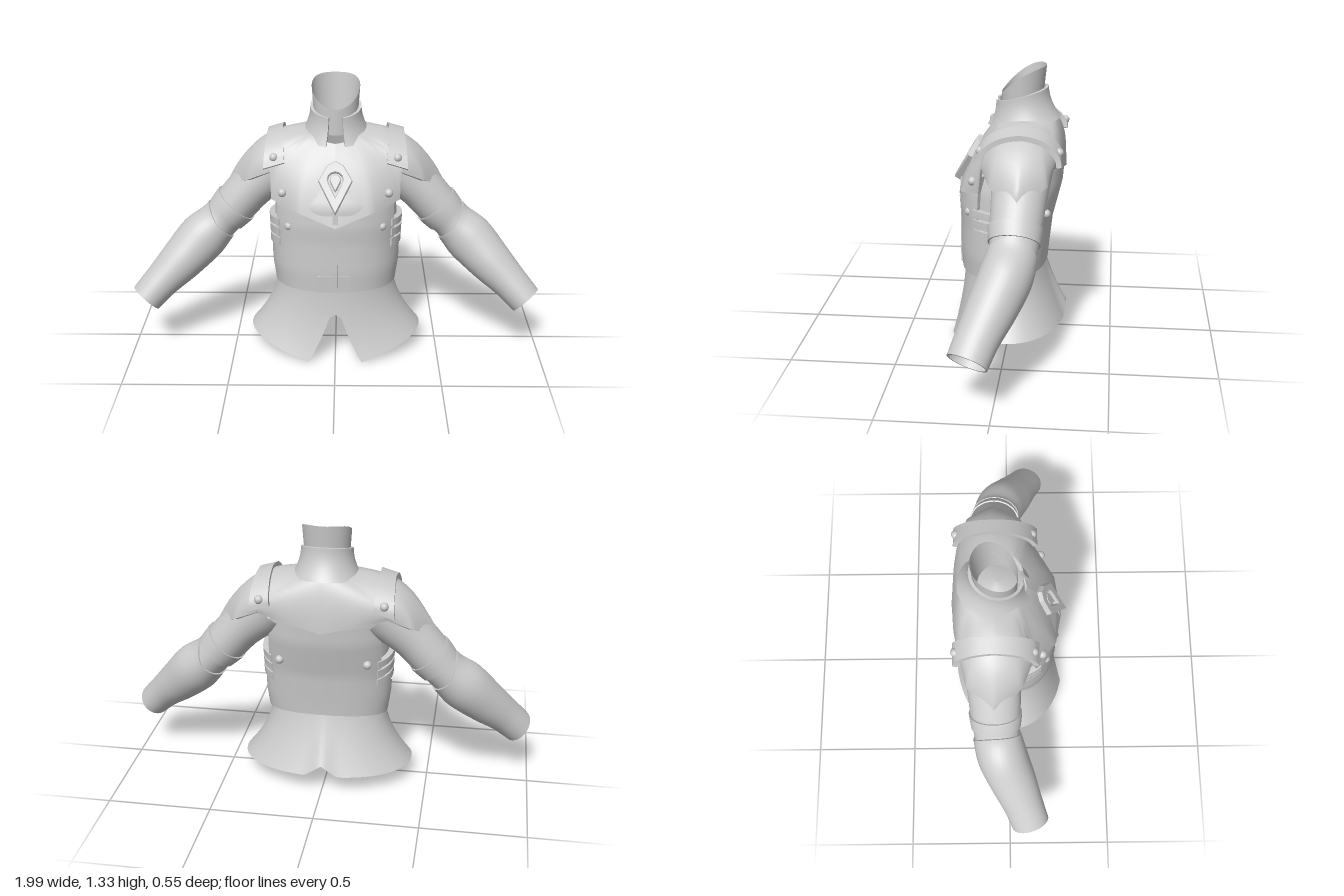
import * as THREE from 'three';
import { toCreasedNormals } from 'three/addons/utils/BufferGeometryUtils.js';

const mat = new THREE.MeshStandardMaterial({ color: 0xcccccc, side: THREE.DoubleSide });
const { lerp, clamp, smoothstep } = THREE.MathUtils;
const V = (a) => new THREE.Vector3(...a);

// Surface over a grid of f(u, v, offset); a thickness folds the border back to offset 0.
function surface(name, f, nu, nv, thick = 0) {
  const pos = [], index = [], e = thick ? 1 : 0, cols = nu + 1 + 2 * e;
  for (let j = -e; j <= nv + e; j++)
    for (let i = -e; i <= nu + e; i++) {
      const edge = i < 0 || j < 0 || i > nu || j > nv;
      pos.push(...f(clamp(i / nu, 0, 1), clamp(j / nv, 0, 1), edge ? 0 : thick));
    }
  for (let j = 0; j < nv + 2 * e; j++)
    for (let i = 0; i < nu + 2 * e; i++) {
      const a = j * cols + i, b = a + cols;
      index.push(a, b, a + 1, b, b + 1, a + 1);
    }
  const g = new THREE.BufferGeometry();
  g.setAttribute('position', new THREE.Float32BufferAttribute(pos, 3));
  g.setIndex(index);
  const mesh = new THREE.Mesh(toCreasedNormals(g, 0.7), mat);
  mesh.name = name;
  return mesh;
}

// Linear lookup in rows whose first entry is the key
function lookup(rows, k) {
  let i = 0;
  while (i < rows.length - 2 && k > rows[i + 1][0]) i++;
  const t = clamp((k - rows[i][0]) / (rows[i + 1][0] - rows[i][0]), 0, 1);
  return rows[i].map((a, n) => lerp(a, rows[i + 1][n], t));
}

// Point on a squarish oval; angle 0 is the front, rising toward +x
function oval(th, y, rx, front, back, p = 0.85) {
  const s = Math.sin(th), c = Math.cos(th), pw = (q) => Math.sign(q) * Math.abs(q) ** p;
  return [rx * pw(s), y, (c > 0 ? front : back) * pw(c)];
}

// Height, half width, front depth, back depth
const BODY = [
  [0.36, 0.275, 0.215, 0.16], [0.45, 0.288, 0.22, 0.168], [0.6, 0.292, 0.217, 0.185],
  [0.68, 0.295, 0.222, 0.205], [0.78, 0.292, 0.215, 0.23], [0.9, 0.27, 0.16, 0.24], [1.02, 0.17, 0.07, 0.2],
];
function body(th, y, off = 0) {
  const [, rx, f, b] = lookup(BODY, y);
  return oval(th, y, rx + off, f + off, b + off);
}

// Mantle stations from front to back: collar, middle and hem points
const STATIONS = [
  [[0, 1.05, 0.085], [0, 0.9, 0.178], [0, 0.69, 0.256]],
  [[0.06, 1.06, 0.07], [0.14, 0.92, 0.163], [0.17, 0.755, 0.225]],
  [[0.1, 1.08, 0.045], [0.25, 0.96, 0.105], [0.305, 0.79, 0.125]],
  [[0.115, 1.085, 0.03], [0.27, 1.0, 0.085], [0.31, 0.92, 0.11]],
  [[0.13, 1.09, 0], [0.335, 1.02, 0.035], [0.42, 0.865, 0.065]],
  [[0.14, 1.1, -0.06], [0.37, 1.025, -0.07], [0.535, 0.8, -0.07]],
  [[0.13, 1.1, -0.12], [0.335, 1.02, -0.165], [0.42, 0.87, -0.2]],
  [[0.1, 1.1, -0.17], [0.25, 1.0, -0.222], [0.305, 0.92, -0.222]],
  [[0.05, 1.1, -0.2], [0.14, 1.0, -0.243], [0.16, 0.885, -0.255]],
  [[0, 1.1, -0.21], [0, 1.0, -0.248], [0, 0.85, -0.268]],
];
const collarLine = new THREE.CatmullRomCurve3(STATIONS.map((s) => V(s[0])));
const midLine = new THREE.CatmullRomCurve3(STATIONS.map((s) => V(s[1])));
function mantle(u, v, off) {
  const k = Math.min(Math.floor(u * 9), 8);
  const c = collarLine.getPoint(u), m = midLine.getPoint(u);
  const b = V(STATIONS[k][2]).lerp(V(STATIONS[k + 1][2]), u * 9 - k);
  const p = c.multiplyScalar((1 - v) * (1 - 2 * v)).addScaledVector(m, 4 * v * (1 - v)).addScaledVector(b, v * (2 * v - 1));
  const shrink = off ? 1 : 0.95; // folded rim gives the hem its thickness
  return [p.x * shrink, p.y, (p.z + 0.05) * shrink - 0.05];
}

// Arm centres and radii (in the front plane, and in depth)
const ARM = [
  [0.27, 0.92, -0.08, 0.14, 0.14], [0.41, 0.79, -0.07, 0.11, 0.125], [0.5, 0.69, -0.065, 0.105, 0.118],
  [0.57, 0.615, -0.06, 0.095, 0.108], [0.66, 0.53, -0.035, 0.113, 0.113], [0.76, 0.43, 0.015, 0.1, 0.105],
  [0.86, 0.335, 0.065, 0.08, 0.09], [0.935, 0.257, 0.1, 0.072, 0.085],
];
const armLine = new THREE.CatmullRomCurve3(ARM.map((a) => V(a.slice(0, 3))));
const armSize = new THREE.CatmullRomCurve3(ARM.map((a) => V([a[3], a[4], 0])));
function arm(th, t, off = 0) {
  const T = armLine.getTangent(t), N = V([-T.y, T.x, 0]).normalize(), B = T.clone().cross(N);
  const r = armSize.getPoint(t);
  return armLine.getPoint(t).addScaledVector(N, (r.x + off) * Math.cos(th))
    .addScaledVector(B, (r.y + off) * Math.sin(th)).toArray();
}

export function createModel() {
  const model = new THREE.Group();
  model.name = 'armouredJacket';
  const add = (...a) => model.add(surface(...a));
  const TAU = Math.PI * 2;

  add('torso', (u, v) => body(u * TAU, lerp(0.36, 1.02, v)), 64, 24);

  // Skirt with a cut front and a small notch behind
  add('skirt', (u, v) => {
    const t = v, gap = t < 0.48 ? 0 : lerp(0.08, 0.29, (t - 0.48) / 0.52);
    const th = lerp(gap, TAU - gap, u), s = Math.abs(Math.sin(th));
    const notch = 0.055 * Math.max(0, 1 - Math.abs(th - Math.PI) / 0.17);
    const hem = (Math.cos(th) > 0 ? 0.09 * Math.max(0, (s - 0.285) / 0.715) : 0.095 - 0.005 * s) + notch;
    return oval(th, lerp(0.42, hem, t), 0.278 + 0.142 * t * t, 0.222 + 0.068 * t ** 2.2, 0.16 + 0.115 * t ** 1.3, 0.95);
  }, 96, 25);

  // Breast and back plates, cut away under the arms
  const cut = (y) => smoothstep(y, 0.5, 0.62);
  add('breastPlate', (u, v, o) => {
    const y = lerp(0.355, 0.86, v), e = lerp(1.57, 1.05, cut(y));
    return body(lerp(-e, e, u), y, o);
  }, 40, 20, 0.02);
  add('backPlate', (u, v, o) => {
    const y0 = 0.355 + 0.03 * Math.sin(u * Math.PI), y = lerp(y0, 0.92, v), e = lerp(1.57, 1.0, cut(y));
    return body(Math.PI + lerp(-e, e, u), y, o);
  }, 40, 20, 0.02);

  // Front placket and its lower tabs
  const tab = (name, x0, x1, y0, y1, off) => add(name, (u, v, o) => {
    const p = body(Math.asin(clamp(lerp(x0, x1, u) / 0.31, -1, 1) * 0.6), lerp(y0, y1, v), o + 0.012);
    return [lerp(x0, x1, u), p[1], p[2]];
  }, 4, 12, off);
  tab('placket', -0.012, 0.012, 0.38, 0.78, 0.018);
  tab('waistTab', 0.014, 0.065, 0.355, 0.44, 0.014);
  tab('waistTab', -0.085, -0.014, 0.355, 0.44, 0.014);

  // Neck with a scooped rim and a closed floor
  add('neck', (u, v) => {
    const th = u * TAU, f = (1 + Math.cos(th)) / 2;
    if (v === 0) return [0, 1.12, -0.05];
    const k = (v - 0.1) / 0.9, r = 0.1 + 0.015 * k;
    const z = -0.05 + r * 0.92 * Math.cos(th);
    return [r * Math.sin(th), lerp(1.08, 1.335 - 0.13 * f ** 1.8, k), z - 0.012 * k];
  }, 48, 10);

  // Standing collar, split at the front
  add('collar', (u, v, o) => {
    const g = 0.28, th = lerp(g, TAU - g, u), f = (1 + Math.cos(th)) / 2;
    const w = (1 - v) ** 2, y = lerp(1.09 - 0.05 * f, 1.235 - 0.065 * f, v);
    const r = 0.108 + 0.045 * w + o;
    return [r * Math.sin(th), y, -0.053 - 0.012 * w + (r + 0.003) * Math.cos(th)];
  }, 48, 8, 0.014);

  // Ornament on the chest: kite frame with a drop inside
  const kite = new THREE.Shape([[0, 0.115], [0.035, 0.095], [0.075, 0.025], [0, -0.125], [-0.075, 0.025], [-0.035, 0.095]].map((p) => new THREE.Vector2(...p)));
  const drop = (k) => [0, 1, 2, 3, 4, 5, 6, 7, 8].map((i) => {
    const a = -0.6 + (i / 8) * (Math.PI + 1.2);
    return new THREE.Vector2(0.04 * k * Math.cos(a), 0.03 + 0.04 * k * Math.sin(a));
  }).concat(new THREE.Vector2(0, 0.03 - 0.09 * k));
  kite.holes.push(new THREE.Path(drop(1)));
  const extrude = (shape, depth) => new THREE.ExtrudeGeometry(shape, { depth, bevelEnabled: true, bevelSize: 0.005, bevelThickness: 0.006, bevelSegments: 1 });
  const ornament = new THREE.Group();
  ornament.name = 'chestOrnament';
  ornament.add(new THREE.Mesh(extrude(kite, 0.035), mat), new THREE.Mesh(extrude(new THREE.Shape(drop(0.55)), 0.03), mat));
  ornament.position.set(0, 0.868, 0.178);
  ornament.rotation.x = -0.53;
  model.add(ornament);

  for (const s of [1, -1]) {
    const side = s > 0 ? 'left' : 'right';
    const half = (name, f, ...n) => add(side + name, (...a) => { const p = f(...a); return [p[0] * s, p[1], p[2]]; }, ...n);

    half('Mantle', mantle, 72, 14, 0.01);
    half('Sleeve', (u, v) => arm(u * TAU, v * 0.56), 32, 22);
    half('SleeveCuff', (u, v, o) => arm(u * TAU, lerp(0.27, 0.37, v), o), 32, 4, 0.007);
    // Gauntlet rising to a point on the outer elbow
    half('Gauntlet', (u, v, o) => {
      const th = u * TAU, start = 0.45 - 0.06 * Math.max(0, Math.cos(th)) ** 1.5;
      return arm(th, lerp(start, 1, v), o);
    }, 32, 24, 0.008);

    // Side belts in the cutaway
    for (const [y, w] of [[0.585, 0.04], [0.635, 0.04], [0.685, 0.035]])
      half('SideBelt', (u, v, o) => body(lerp(0.95, 2.25, u), y + (v - 0.5) * w - 0.03 * u, o), 16, 2, 0.027);

    // Strap over the shoulder
    const strap = new THREE.CatmullRomCurve3([[0.29, 0.95, 0.118], [0.29, 1.0, 0.092], [0.29, 1.047, 0.03], [0.29, 1.066, -0.07], [0.29, 1.045, -0.165], [0.29, 0.985, -0.228], [0.29, 0.95, -0.235]].map(V));
    half('ShoulderStrap', (u, v, o) => {
      const p = strap.getPoint(v), t = strap.getTangent(v), w = 0.036 + 0.014 * Math.abs(2 * v - 1), x = lerp(-w, w, u);
      return [p.x + x, p.y - x * 0.3 - t.z * o, p.z + t.y * o];
    }, 4, 24, 0.024);

    // Rivets
    for (const [x, y, z] of [[0.25, 0.835, 0.158], [0.22, 0.675, 0.178], [0.29, 0.995, 0.115], [0.29, 0.995, -0.245], [0.21, 0.67, -0.185]]) {
      const rivet = new THREE.Mesh(new THREE.SphereGeometry(0.021, 14, 10), mat);
      rivet.name = side + 'Rivet';
      rivet.position.set(x * s, y, z);
      model.add(rivet);
    }
  }
  return model;
}
